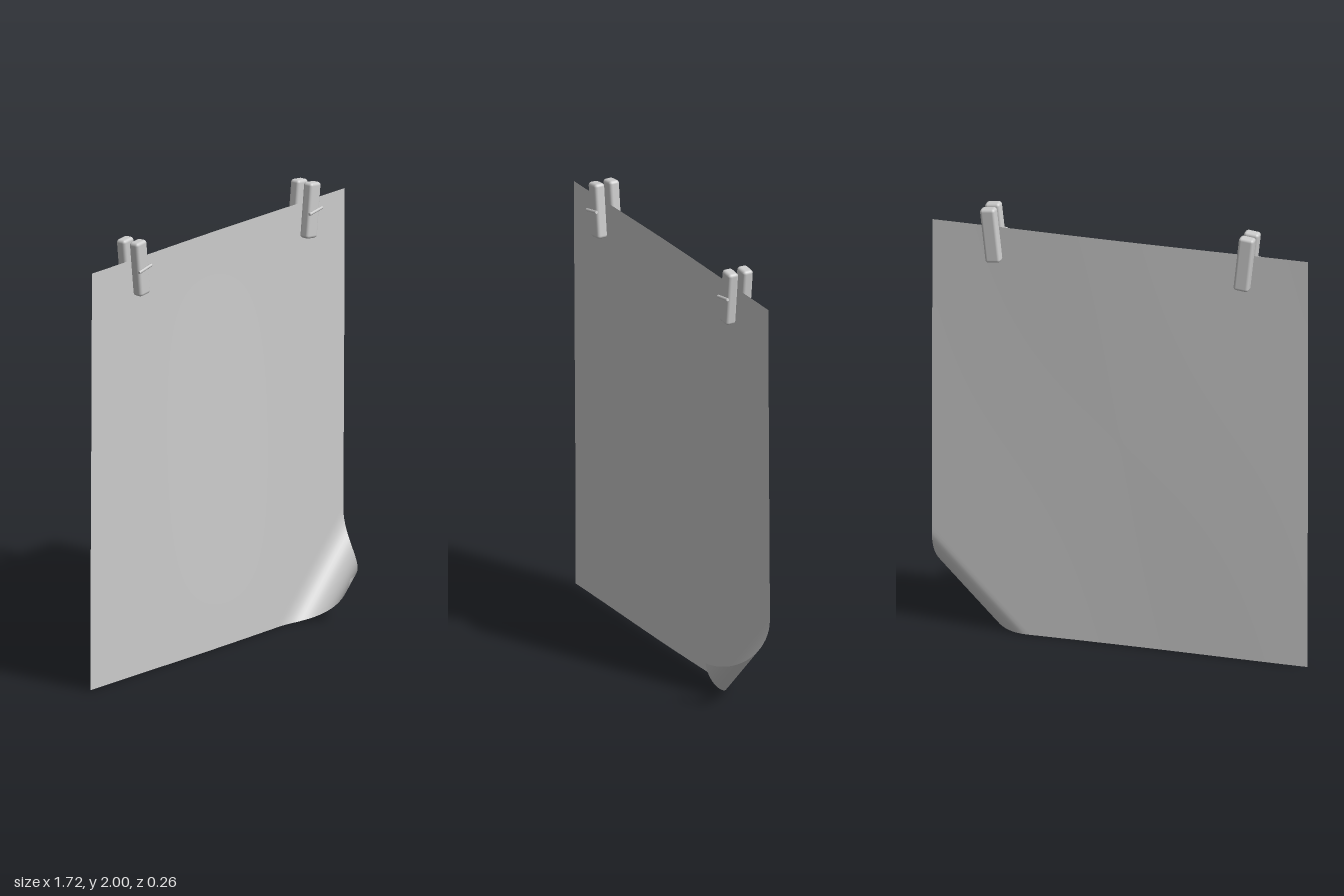
import * as THREE from 'three';
import { RoundedBoxGeometry } from 'three/addons/geometries/RoundedBoxGeometry.js';

const W = 1.72, H = 1.9, SHEET_Z = -0.08;
const CURL_LENGTH = 0.31, CURL_RADIUS = 0.106;

// Flat sheet whose lower left corner rolls forward around a diagonal cylinder
function sheetGeometry() {
  const geo = new THREE.PlaneGeometry(W, H, 80, 88);
  const pos = geo.attributes.position;
  const d = Math.SQRT1_2;
  for (let i = 0; i < pos.count; i++) {
    let x = pos.getX(i), y = pos.getY(i) + H / 2;
    // very gentle waviness
    let z = SHEET_Z + 0.004 * Math.cos((x / W) * Math.PI * 2) * Math.sin((y / H - 0.5) * Math.PI) * -1;
    // distance past the line where the curl begins
    const s = (x - W / 2) * d - y * d + CURL_LENGTH;
    if (s > 0) {
      const a = s / CURL_RADIUS;
      const back = s - CURL_RADIUS * Math.sin(a);
      x -= back * d;
      y += back * d;
      z += CURL_RADIUS * (1 - Math.cos(a));
    }
    pos.setXYZ(i, x, y, z);
  }
  geo.computeVertexNormals();
  return geo;
}

// Clothes peg: two parallel jaws and a thin wire across the front
function makePeg(name, x, tilt, wireTilt, material) {
  const peg = new THREE.Group();
  peg.name = name;
  const jawGeo = new RoundedBoxGeometry(0.07, 0.25, 0.05, 2, 0.014);
  for (const [jawName, z] of [['frontJaw', -0.036], ['backJaw', -0.11]]) {
    const jaw = new THREE.Mesh(jawGeo, material);
    jaw.name = jawName;
    jaw.position.z = z;
    peg.add(jaw);
  }
  const wire = new THREE.Mesh(new THREE.CylinderGeometry(0.007, 0.007, 0.086, 8), material);
  wire.name = 'springWire';
  wire.position.z = -0.006;
  wire.rotation.z = Math.PI / 2 + wireTilt - tilt;
  peg.add(wire);
  peg.position.set(x, 1.872, 0);
  peg.rotation.z = tilt;
  return peg;
}

export function createModel() {
  const model = new THREE.Group();
  model.name = 'hangingSheet';
  const paper = new THREE.MeshStandardMaterial({ color: 0xcccccc, side: THREE.DoubleSide });
  paper.name = 'light grey';

  const sheet = new THREE.Mesh(sheetGeometry(), paper);
  sheet.name = 'paperSheet';
  model.add(sheet);

  model.add(makePeg('rightPeg', -0.58, 0.11, 0.2, paper));
  model.add(makePeg('leftPeg', 0.58, -0.11, 0.15, paper));
  return model;
}
